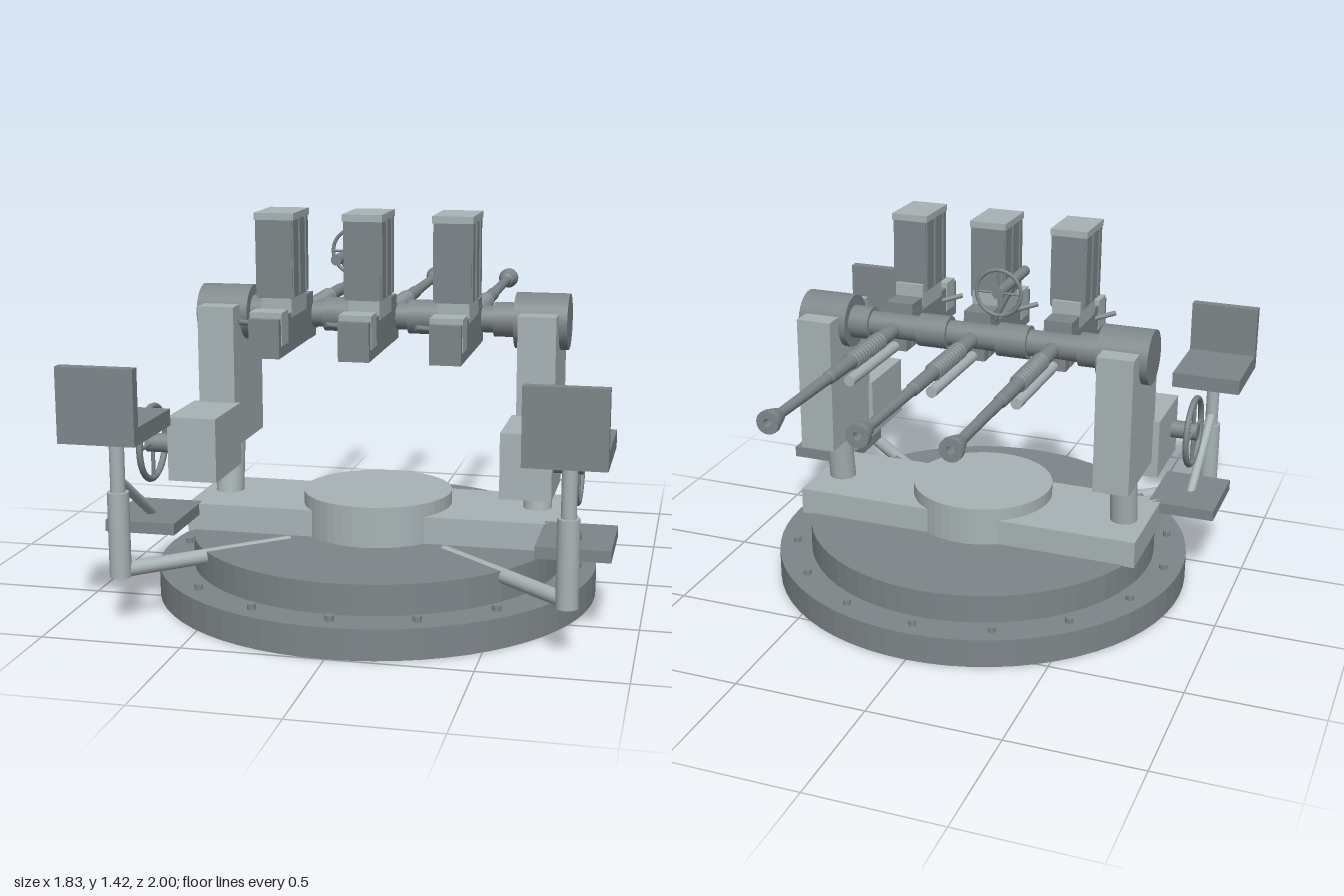
import * as THREE from 'three';

// Two paint tones, each flat (boxes, discs) and smooth (round bars)
const tone = (color, flatShading) => new THREE.MeshStandardMaterial({ color, flatShading });
const dark = { flat: tone(0x7e8689, true), round: tone(0x7e8689, false) };
const light = { flat: tone(0xa8b3b5, true), round: tone(0xa8b3b5, false) };

function add(parent, name, geometry, material) {
  const mesh = new THREE.Mesh(geometry, material);
  mesh.name = name;
  parent.add(mesh);
  return mesh;
}

function group(parent, name) {
  const g = new THREE.Group();
  g.name = name;
  parent.add(g);
  return g;
}

// Box given by its limits on each axis
function box(parent, name, paint, [x0, x1], [y0, y1], [z0, z1]) {
  const mesh = add(parent, name, new THREE.BoxGeometry(x1 - x0, y1 - y0, z1 - z0), paint.flat);
  mesh.position.set((x0 + x1) / 2, (y0 + y1) / 2, (z0 + z1) / 2);
}

// Round bar between two points
function rod(parent, name, paint, a, b, r, sides = 16) {
  const p = new THREE.Vector3(...a), q = new THREE.Vector3(...b);
  const d = q.clone().sub(p);
  const mesh = add(parent, name, new THREE.CylinderGeometry(r, r, d.length(), sides), paint.round);
  mesh.position.copy(p).add(q).multiplyScalar(0.5);
  mesh.quaternion.setFromUnitVectors(new THREE.Vector3(0, 1, 0), d.normalize());
}

// Upright disc
function disc(parent, name, paint, r, y0, y1, x, z, sides = 64) {
  const mesh = add(parent, name, new THREE.CylinderGeometry(r, r, y1 - y0, sides), paint.flat);
  mesh.position.set(x, (y0 + y1) / 2, z);
}

// Four-spoked wheel facing z
function wheel(parent, name, r, tube) {
  const g = group(parent, name);
  add(g, 'rim', new THREE.TorusGeometry(r - tube, tube, 10, 36), dark.round);
  const s = r - tube;
  rod(g, 'spoke', dark, [-s, 0, 0], [s, 0, 0], tube * 0.65, 8);
  rod(g, 'spoke', dark, [0, -s, 0], [0, s, 0], tube * 0.65, 8);
  rod(g, 'wheelHub', dark, [0, 0, -tube * 1.5], [0, 0, tube * 1.5], r * 0.24);
  return g;
}

// Barrel profile: distance ahead of the pivot and radius, with a ribbed recoil spring
function barrelGeometry() {
  const profile = [[0, 0], [0, 0.029], [0.17, 0.029]];
  for (let i = 0; i < 11; i++) {
    const s = 0.175 + i * 0.024;
    profile.push([s, 0.027], [s + 0.004, 0.034], [s + 0.012, 0.034], [s + 0.016, 0.027]);
  }
  profile.push([0.45, 0.026], [0.62, 0.025], [0.63, 0.021], [0.98, 0.018], [1.005, 0.02],
    [1.01, 0.026], [1.065, 0.041], [1.085, 0.041], [1.085, 0.014], [1.0, 0.014], [1.0, 0]);
  const geometry = new THREE.LatheGeometry(profile.map(([s, r]) => new THREE.Vector2(r, s)), 20);
  return geometry.rotateX(-Math.PI / 2);
}

function buildGun(parent, x) {
  const g = group(parent, 'gun');
  g.position.set(x, 1.007, 0.085);
  g.rotation.x = 0.016;
  add(g, 'barrel', barrelGeometry(), dark.flat);
  rod(g, 'gasTube', light, [0, -0.07, 0], [0, -0.07, -0.45], 0.021);
  // Receiver and breech
  box(g, 'receiver', dark, [-0.055, 0.055], [-0.08, 0.058], [0.02, 0.487]);
  box(g, 'receiverNose', dark, [-0.05, 0.05], [-0.085, -0.04], [-0.03, 0.05]);
  box(g, 'breech', light, [-0.058, 0.058], [-0.04, 0.078], [0.375, 0.46]);
  box(g, 'receiverTop', dark, [-0.054, 0.054], [0.04, 0.09], [0.02, 0.13]);
  // Magazine with its ribs, throat and lid
  box(g, 'magazineThroat', light, [-0.056, 0.056], [0.04, 0.14], [0.12, 0.32]);
  box(g, 'magazine', dark, [-0.064, 0.064], [0.11, 0.395], [0.135, 0.337]);
  for (const side of [-1, 1])
    for (const z of [0.15, 0.235, 0.32]) {
      box(g, 'magazineRib', dark, [side * 0.065 - 0.005, side * 0.065 + 0.005], [0.115, 0.39], [z - 0.013, z + 0.013]);
    }
  box(g, 'magazineLid', light, [-0.072, 0.072], [0.388, 0.413], [0.127, 0.343]);
  rod(g, 'chargingHandle', dark, [-0.05, 0.015, 0.335], [-0.12, 0.03, 0.39], 0.01, 8);
}

// Everything that stands on one side; s is +1 for left, -1 for right
function buildSide(parent, s) {
  const g = group(parent, s > 0 ? 'leftSide' : 'rightSide');
  const span = (a, b) => (s > 0 ? [a, b] : [-b, -a]);

  // Upright on its leaning post
  rod(g, 'post', light, [s * 0.595, 0.28, 0.14], [s * 0.595, 0.56, 0.1], 0.053, 20);
  box(g, 'upright', light, span(0.527, 0.665), [0.52, 1.05], [-0.087, 0.27]);
  rod(g, 'trunnionHousing', dark, [s * 0.5, 1.01, 0.09], [s * 0.695, 1.01, 0.09], 0.103, 32);

  // Gearbox and handwheel
  box(g, 'gearbox', light, span(0.51, 0.69), [0.457, 0.69], [0.255, 0.555]);
  rod(g, 'wheelAxle', dark, [s * 0.68, 0.577, 0.48], [s * 0.775, 0.577, 0.48], 0.035);
  const w = wheel(g, 'handwheel', 0.145, 0.012);
  w.position.set(s * 0.775, 0.577, 0.48);
  w.rotation.y = Math.PI / 2;

  // Seat, its post and carrying arm
  box(g, 'seatPan', dark, span(0.64, 0.913), [0.685, 0.745], [0.655, 0.97]);
  box(g, 'seatBack', dark, span(0.64, 0.913), [0.685, 0.947], [0.96, 1]);
  rod(g, 'seatPost', light, [s * 0.777, 0.45, 0.82], [s * 0.777, 0.69, 0.82], 0.026);
  rod(g, 'seatSleeve', light, [s * 0.777, 0.175, 0.82], [s * 0.777, 0.48, 0.82], 0.038);
  rod(g, 'seatArm', light, [s * 0.777, 0.198, 0.82], [s * 0.29, 0.199, 0.385], 0.027);

  // Footplate
  box(g, 'footplate', dark, span(0.645, 0.905), [0.277, 0.32], [0.32, 0.635]);
  rod(g, 'footplateStrut', light, [s * 0.777, 0.52, 0.81], [s * 0.777, 0.3, 0.47], 0.018);
}

export function createModel() {
  const model = new THREE.Group();
  model.name = 'tripleGunMount';

  // Round base with a ring of bolts
  const base = group(model, 'base');
  disc(base, 'basePlate', dark, 0.818, 0, 0.11, 0, 0.18);
  disc(base, 'turntable', dark, 0.69, 0.11, 0.22, 0, 0.18);
  disc(base, 'hub', light, 0.277, 0.22, 0.37, 0, 0.18, 48);
  for (let i = 0; i < 16; i++) {
    const a = (i * Math.PI) / 8;
    disc(base, 'bolt', dark, 0.016, 0.105, 0.13, 0.75 * Math.sin(a), 0.18 + 0.75 * Math.cos(a), 8);
  }

  // Cross beam under the uprights
  box(model, 'crossBeam', light, [-0.69, 0.69], [0.215, 0.32], [-0.055, 0.36]);
  buildSide(model, 1);
  buildSide(model, -1);

  // Cradle shaft with collars
  const cradle = group(model, 'cradle');
  rod(cradle, 'shaft', dark, [-0.52, 1.01, 0.085], [0.52, 1.01, 0.085], 0.05, 24);
  for (const [a, b] of [[-0.51, -0.42], [-0.22, -0.1], [0.1, 0.22], [0.42, 0.51]]) {
    rod(cradle, 'collar', dark, [a, 1.01, 0.085], [b, 1.01, 0.085], 0.064, 24);
  }
  for (const x of [-0.32, 0, 0.32]) buildGun(cradle, x);

  // Ring sight on its bracket
  const sight = group(cradle, 'sight');
  rod(sight, 'sightBar', dark, [-0.137, 1.233, -0.045], [-0.137, 1.233, 0.26], 0.02);
  rod(sight, 'sightBracket', dark, [-0.137, 1.23, 0.165], [-0.045, 1.05, 0.165], 0.012, 10);
  wheel(sight, 'sightRing', 0.093, 0.007).position.set(-0.137, 1.233, -0.04);

  return model;
}
